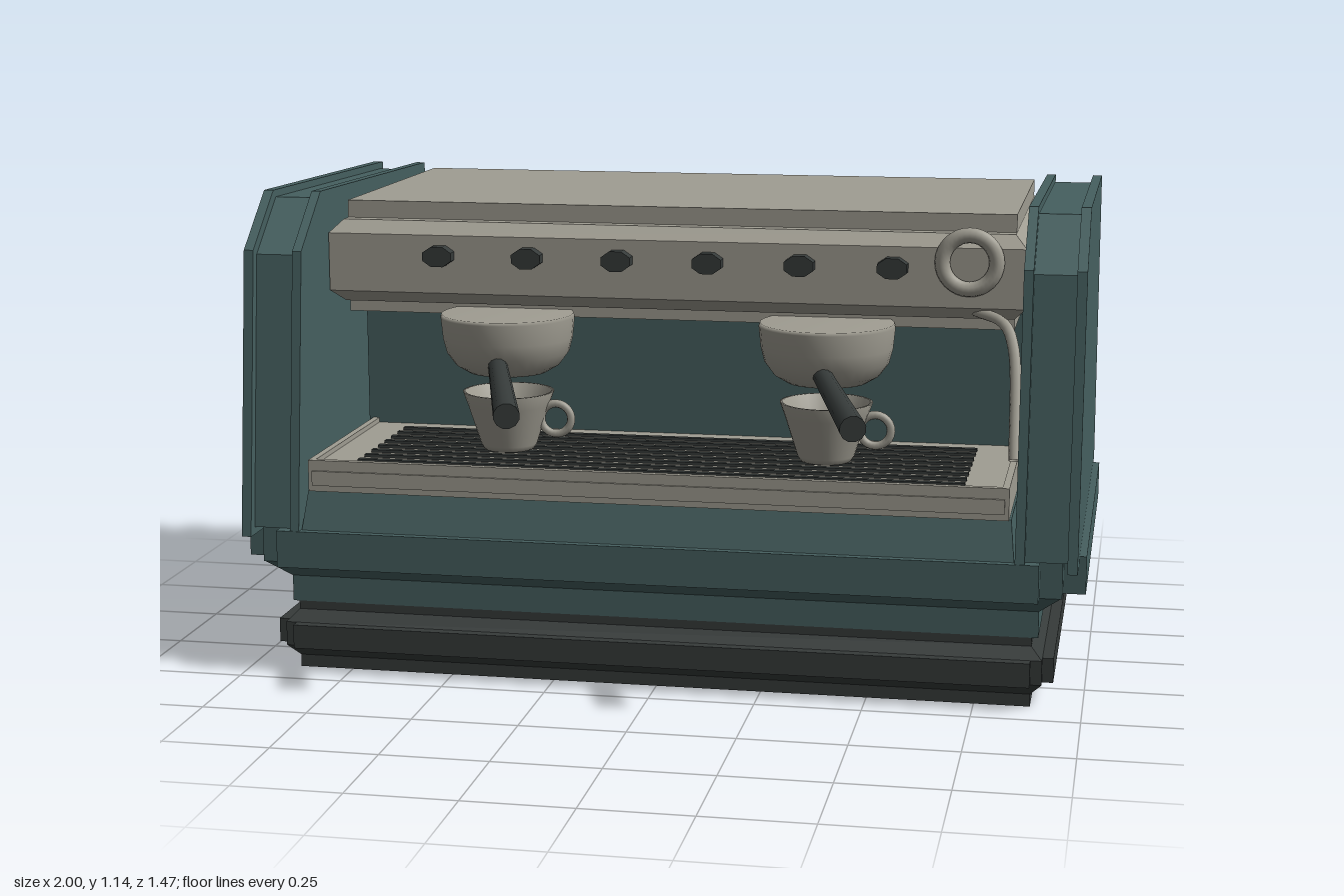
import * as THREE from 'three';

const mat = (name, color, side = THREE.FrontSide) => {
  const m = new THREE.MeshStandardMaterial({ color, side });
  m.name = name;
  return m;
};

export function createModel() {
  const root = new THREE.Group();
  root.name = 'espressoMachine';
  const teal = mat('teal enamel', 0x466060);
  const steel = mat('warm steel', 0xa09d92, THREE.DoubleSide);
  const dark = mat('charcoal', 0x363b3a);

  const add = (name, geo, m, parent = root) => {
    const mesh = new THREE.Mesh(geo, m);
    mesh.name = name;
    parent.add(mesh);
    return mesh;
  };

  // Box by extents, symmetric in x
  const slab = (name, m, hx, y0, y1, z0, z1) => {
    const g = new THREE.BoxGeometry(hx * 2, y1 - y0, z1 - z0);
    g.translate(0, (y0 + y1) / 2, (z0 + z1) / 2);
    return add(name, g, m);
  };

  // Four-sided frustum between two rectangles [halfX, zBack, zFront]
  const frustum = (name, m, y0, lo, y1, hi) => {
    const g = new THREE.BoxGeometry(2, 1, 2);
    const p = g.attributes.position;
    for (let i = 0; i < p.count; i++) {
      const top = p.getY(i) > 0;
      const r = top ? hi : lo;
      p.setXYZ(i, Math.sign(p.getX(i)) * r[0], top ? y1 : y0, p.getZ(i) > 0 ? r[2] : r[1]);
    }
    const flat = g.toNonIndexed();
    flat.computeVertexNormals();
    return add(name, flat, m);
  };

  // Flange with stepped corners: three overlapping slabs
  const flange = (name, m, hx, zb, zf, s, y0, y1) => {
    slab(name + 'Sides', m, hx + s, y0, y1, zb, zf);
    slab(name + 'Corners', m, hx + s / 2, y0, y1, zb - s / 2, zf + s / 2);
    slab(name + 'FrontBack', m, hx, y0, y1, zb - s, zf + s);
  };

  // Plinth
  slab('plinth', dark, 0.88, 0, 0.165, -0.595, 0.4);
  flange('plinthBand', dark, 0.88, -0.595, 0.4, 0.052, 0.06, 0.118);
  frustum('plinthLowerBevel', dark, 0.03, [0.88, -0.595, 0.4], 0.06, [0.906, -0.62, 0.426]);
  frustum('plinthUpperBevel', dark, 0.118, [0.906, -0.62, 0.426], 0.145, [0.88, -0.595, 0.4]);

  // Lower body and its wide ledge
  slab('lowerBody', teal, 0.895, 0.165, 0.36, -0.61, 0.4);
  frustum('ledgeBevel', teal, 0.228, [0.895, -0.61, 0.4], 0.274, [0.945, -0.66, 0.452]);
  flange('ledge', teal, 0.897, -0.61, 0.4, 0.103, 0.274, 0.363);

  // Housing: base under the tray, rear body, back skirting
  frustum('trayBase', teal, 0.36, [0.84, -0.64, 0.485], 0.455, [0.83, -0.64, 0.455]);
  slab('rearBody', teal, 0.835, 0.36, 0.845, -0.66, -0.05);
  slab('backPanel', teal, 0.835, 0.52, 0.845, -0.682, -0.66);
  frustum('backSkirting', teal, 0.36, [0.84, -0.71, -0.6], 0.47, [0.835, -0.685, -0.6]);

  // Side panels: two thin sheets around a slightly smaller core
  const outline = [[0.502, 0.345], [0.423, 1.02], [0.27, 1.145], [-0.615, 1.125], [-0.735, 0.35]];
  const panelGeo = (scale, x0, x1) => {
    const shape = new THREE.Shape(outline.map(([z, y]) =>
      new THREE.Vector2(-0.1 + (z + 0.1) * scale, 0.75 + (y - 0.75) * scale)));
    const g = new THREE.ExtrudeGeometry(shape, { depth: x1 - x0, bevelEnabled: false });
    g.rotateY(-Math.PI / 2);
    g.translate(x1, 0, 0);
    return g;
  };
  for (const [side, inner] of [['left', 1], ['right', -1]]) {
    const group = new THREE.Group();
    group.name = side + 'SidePanel';
    root.add(group);
    for (const [name, s, a, b] of [
      ['outerSheet', 1, 0.96, 0.983], ['core', 0.955, 0.86, 0.962], ['innerSheet', 1, 0.842, 0.864],
    ]) {
      add(name, inner > 0 ? panelGeo(s, a, b) : panelGeo(s, -b, -a), teal, group);
    }
  }

  // Top housing with projecting control band
  slab('topHousing', steel, 0.81, 0.84, 1.112, -0.6, 0.16);
  slab('backCover', steel, 0.81, 0.84, 1.04, -0.655, -0.59);
  slab('controlBand', steel, 0.838, 0.9, 1.04, -0.655, 0.23);
  frustum('bandTop', steel, 1.04, [0.838, -0.655, 0.23], 1.07, [0.81, -0.61, 0.195]);
  frustum('bandBottom', steel, 0.87, [0.81, -0.61, 0.19], 0.9, [0.838, -0.655, 0.23]);

  // Drip tray, raised rim and dark slats
  slab('dripTray', steel, 0.825, 0.455, 0.518, -0.05, 0.468);
  slab('trayFrontTrim', steel, 0.815, 0.47, 0.505, 0.46, 0.474);
  slab('trayFrontRim', steel, 0.825, 0.515, 0.53, 0.452, 0.468);
  for (const x of [-0.817, 0.817]) {
    add('traySideRim', new THREE.BoxGeometry(0.016, 0.015, 0.518), steel).position.set(x, 0.5225, 0.209);
  }
  for (let i = 0; i < 8; i++) {
    const z = 0.405 - i * 0.054;
    slab('traySlat', dark, 0.72, 0.516, 0.525, z - 0.008, z + 0.008);
  }

  // Push buttons
  for (let i = 0; i < 6; i++) {
    const g = new THREE.CylinderGeometry(0.036, 0.036, 0.034, 8);
    g.rotateY(Math.PI / 8).rotateX(Math.PI / 2).scale(1.05, 0.72, 1);
    const b = add('button', g.toNonIndexed(), dark);
    b.geometry.computeVertexNormals();
    b.position.set(-0.56 + i * 0.218, 0.992, 0.246);
  }

  // Gauge ring
  const ring = add('gaugeRing', new THREE.TorusGeometry(0.063, 0.018, 10, 32), steel);
  ring.position.set(0.707, 1.008, 0.235);

  // Steam wand
  const wand = new THREE.CatmullRomCurve3([
    [0.72, 0.89, 0.2], [0.79, 0.87, 0.25], [0.815, 0.82, 0.285], [0.83, 0.58, 0.4],
  ].map(p => new THREE.Vector3(...p)), false, 'centripetal');
  add('steamWand', new THREE.TubeGeometry(wand, 24, 0.013, 8), steel);

  // Brew heads with handles, and cups below
  const lathe = (pts, n = 32) => new THREE.LatheGeometry(pts.map(p => new THREE.Vector2(...p)), n);
  for (const x of [-0.395, 0.377]) {
    const station = new THREE.Group();
    station.name = 'brewStation';
    station.position.set(x, 0, 0.23);
    root.add(station);
    add('brewHead', lathe([[0, 0.715], [0.095, 0.717], [0.125, 0.735], [0.147, 0.765],
      [0.156, 0.8], [0.161, 0.85], [0.158, 0.858], [0, 0.858]]), steel, station);

    const a = new THREE.Vector3(0.005, 0.752, 0.12);
    const b = new THREE.Vector3(0.122, 0.707, 0.495);
    const handle = add('brewHandle', new THREE.CylinderGeometry(0.03, 0.023, a.distanceTo(b), 12), dark, station);
    handle.position.copy(a).lerp(b, 0.5);
    handle.quaternion.setFromUnitVectors(new THREE.Vector3(0, 1, 0), b.clone().sub(a).normalize());

    add('cup', lathe([[0, 0.527], [0.06, 0.527], [0.068, 0.54], [0.098, 0.635], [0.11, 0.668],
      [0.103, 0.668], [0.085, 0.62], [0.055, 0.55], [0, 0.545]]), steel, station);
    const grip = add('cupHandle', new THREE.TorusGeometry(0.037, 0.01, 8, 24), steel, station);
    grip.position.set(0.117, 0.603, 0);
  }
  return root;
}
